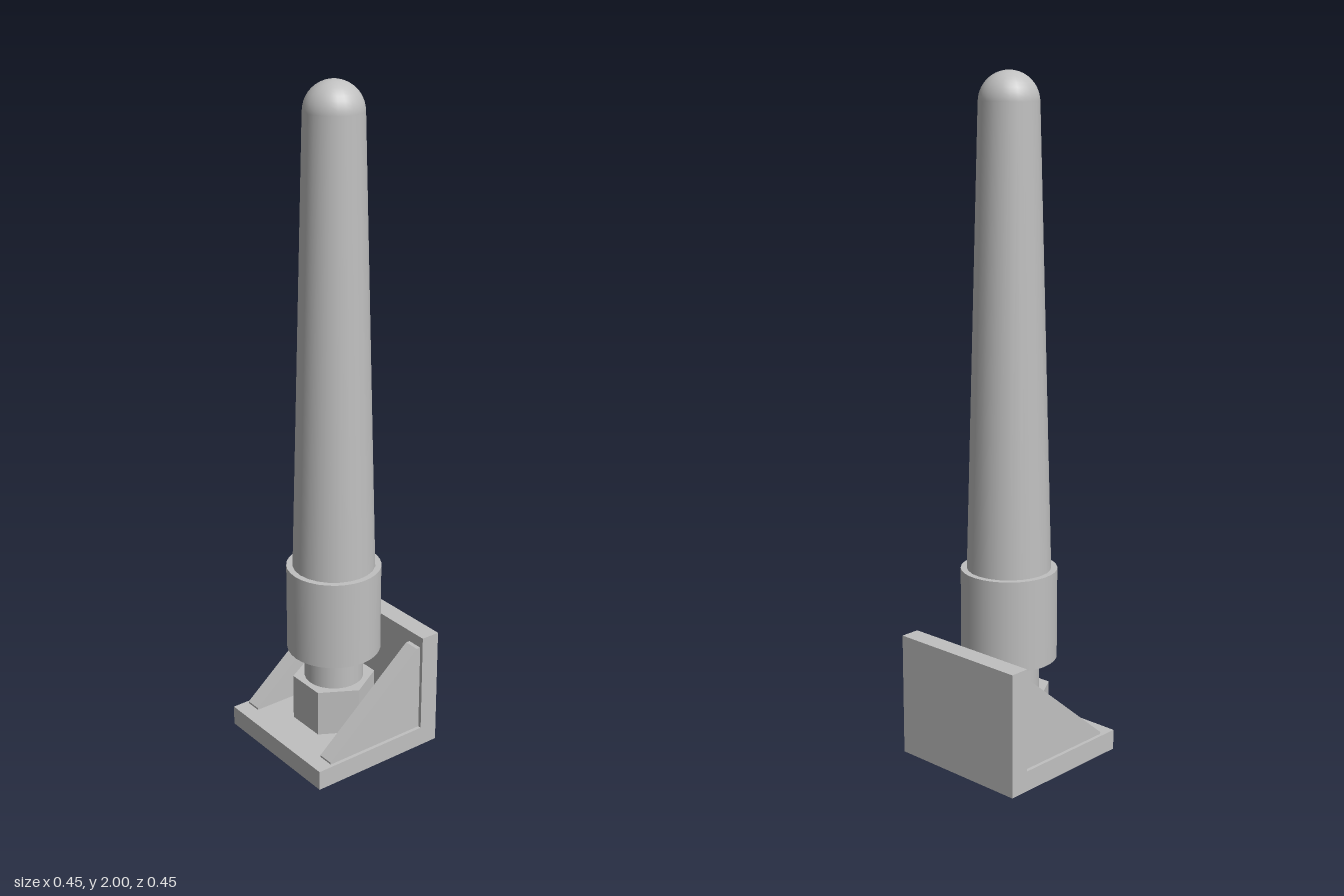
import * as THREE from 'three';

export function createModel() {
  const model = new THREE.Group();
  model.name = 'bracketMountedMast';

  const grey = new THREE.MeshStandardMaterial({ color: 0xc0c0c0 });
  grey.name = 'grey';

  const add = (name, geometry, x = 0, y = 0, z = 0) => {
    const mesh = new THREE.Mesh(geometry, grey);
    mesh.name = name;
    mesh.position.set(x, y, z);
    model.add(mesh);
    return mesh;
  };

  // Side profile given as (z, y) points, extruded across x and centred on x = 0
  const sideProfile = (points, width) => {
    const shape = new THREE.Shape(points.map(([z, y]) => new THREE.Vector2(z, y)));
    return new THREE.ExtrudeGeometry(shape, { depth: width, bevelEnabled: false })
      .rotateY(-Math.PI / 2)
      .translate(width / 2, 0, 0);
  };

  // Upright cylinder or cone between two heights
  const column = (name, rBottom, rTop, y0, y1, sides = 24) =>
    add(name, new THREE.CylinderGeometry(rTop, rBottom, y1 - y0, sides), 0, (y0 + y1) / 2, 0);

  // L-shaped bracket: foot plate and back plate
  add('bracket', sideProfile([
    [0.223, 0], [0.223, 0.061], [-0.163, 0.061], [-0.163, 0.37], [-0.223, 0.37], [-0.223, 0],
  ], 0.446));

  // Triangular gussets on both sides
  for (const [name, side] of [['leftGusset', 1], ['rightGusset', -1]]) {
    add(name, sideProfile([
      [0.174, 0.06], [0.174, 0.067], [-0.15, 0.335], [-0.164, 0.335], [-0.164, 0.06],
    ], 0.05), side * 0.187);
  }

  // Hexagonal nut with corners pointing sideways
  const nut = new THREE.CylinderGeometry(0.125, 0.125, 0.145, 6).toNonIndexed();
  nut.computeVertexNormals();
  nut.rotateY(Math.PI / 6);
  add('hexNut', nut, 0, 0.1335, 0);

  // Stem, collar and tapered mast
  column('stem', 0.09, 0.09, 0.2, 0.31);
  column('collar', 0.142, 0.142, 0.307, 0.58, 32);
  column('mast', 0.124, 0.086, 0.575, 1.915);

  // Rounded tip
  add('domeTip', new THREE.SphereGeometry(0.086, 24, 10, 0, Math.PI * 2, 0, Math.PI / 2), 0, 1.914, 0);

  return model;
}
